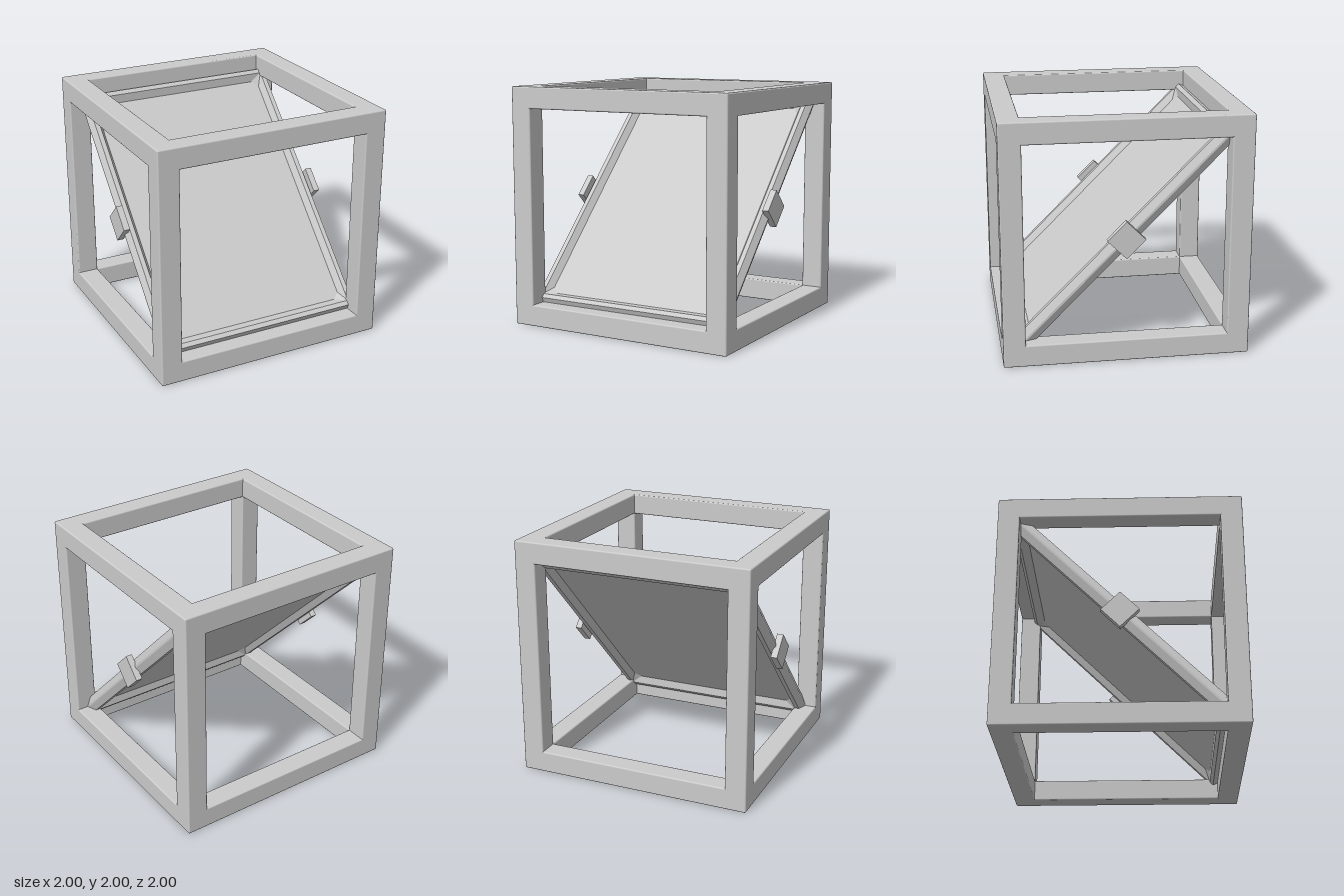
import * as THREE from 'three';
import { RoundedBoxGeometry } from 'three/addons/geometries/RoundedBoxGeometry.js';

const smooth = new THREE.MeshStandardMaterial({ color: 0xcccccc });
const faceted = new THREE.MeshStandardMaterial({ color: 0xcccccc, flatShading: true });

function addMesh(parent, name, geometry, material) {
  const mesh = new THREE.Mesh(geometry, material);
  mesh.name = name;
  parent.add(mesh);
  return mesh;
}

// Rectangle with cut corners, half sizes a (x) and b (z), at height y
function ring(a, b, cut, y) {
  const cx = a - cut, cz = b - cut;
  return [[a, -cz], [a, cz], [cx, b], [-cx, b], [-a, cz], [-a, -cz], [-cx, -b], [cx, -b]]
    .map(([x, z]) => new THREE.Vector3(x, y, z));
}

// Closed solid skinned through a stack of rings, from bottom centre to top centre
function skin(rings) {
  const positions = [];
  const tri = (p, q, r) => {
    const area = q.clone().sub(p).cross(r.clone().sub(p)).length();
    if (area > 1e-8) for (const v of [p, q, r]) positions.push(v.x, v.y, v.z);
  };
  const n = rings[0].length;
  const last = rings[rings.length - 1];
  const bottom = new THREE.Vector3(0, rings[0][0].y, 0);
  const top = new THREE.Vector3(0, last[0].y, 0);
  for (let i = 0; i < n; i++) {
    const j = (i + 1) % n;
    tri(bottom, rings[0][i], rings[0][j]);
    tri(top, last[j], last[i]);
    for (let k = 0; k < rings.length - 1; k++) {
      const lo = rings[k], hi = rings[k + 1];
      tri(lo[i], hi[i], hi[j]);
      tri(lo[i], hi[j], lo[j]);
    }
  }
  const geometry = new THREE.BufferGeometry();
  geometry.setAttribute('position', new THREE.Float32BufferAttribute(positions, 3));
  geometry.computeVertexNormals();
  return geometry;
}

export function createModel() {
  const model = new THREE.Group();
  model.name = 'cubeFrameWithPanel';

  // Open cube: four softened beams along each axis
  const frame = new THREE.Group();
  frame.name = 'cubeFrame';
  model.add(frame);
  const width = 0.18, offset = 1 - width / 2;
  for (const axis of ['x', 'y', 'z']) {
    const size = { x: width, y: width, z: width, [axis]: 2 };
    const beam = new RoundedBoxGeometry(size.x, size.y, size.z, 2, 0.012);
    const [u, v] = ['x', 'y', 'z'].filter((other) => other !== axis);
    for (const su of [-1, 1]) {
      for (const sv of [-1, 1]) {
        const mesh = addMesh(frame, axis === 'y' ? 'post' : 'rail', beam, smooth);
        mesh.position[u] = su * offset;
        mesh.position[v] = sv * offset;
        mesh.position.y += 1;
      }
    }
  }

  // Diagonal panel, tilted from the lower front edge to the upper back edge
  const panel = new THREE.Group();
  panel.name = 'tiltedPanel';
  panel.position.y = 1;
  panel.rotation.x = Math.PI / 4;
  model.add(panel);

  // Half profile of the raised rim: [half width, half length, corner cut, height]
  const profile = [
    [0.9, 1.195, 0, 0.008],
    [0.87, 1.17, 0, 0.067],
    [0.83, 1.13, 0, 0.067],
    [0.793, 1.08, 0.055, 0.012],
  ];
  const upper = profile.map(([a, b, cut, y]) => ring(a, b, cut, y));
  const lower = profile.map(([a, b, cut, y]) => ring(a, b, cut, -y)).reverse();
  addMesh(panel, 'recessedPanel', skin([...lower, ...upper]), faceted);

  // Square pivot block on each side
  for (const side of [-1, 1]) {
    const block = addMesh(panel, side > 0 ? 'leftPivot' : 'rightPivot',
      new THREE.BoxGeometry(0.055, 0.219, 0.219), faceted);
    block.position.x = side * 0.91;
  }
  return model;
}
